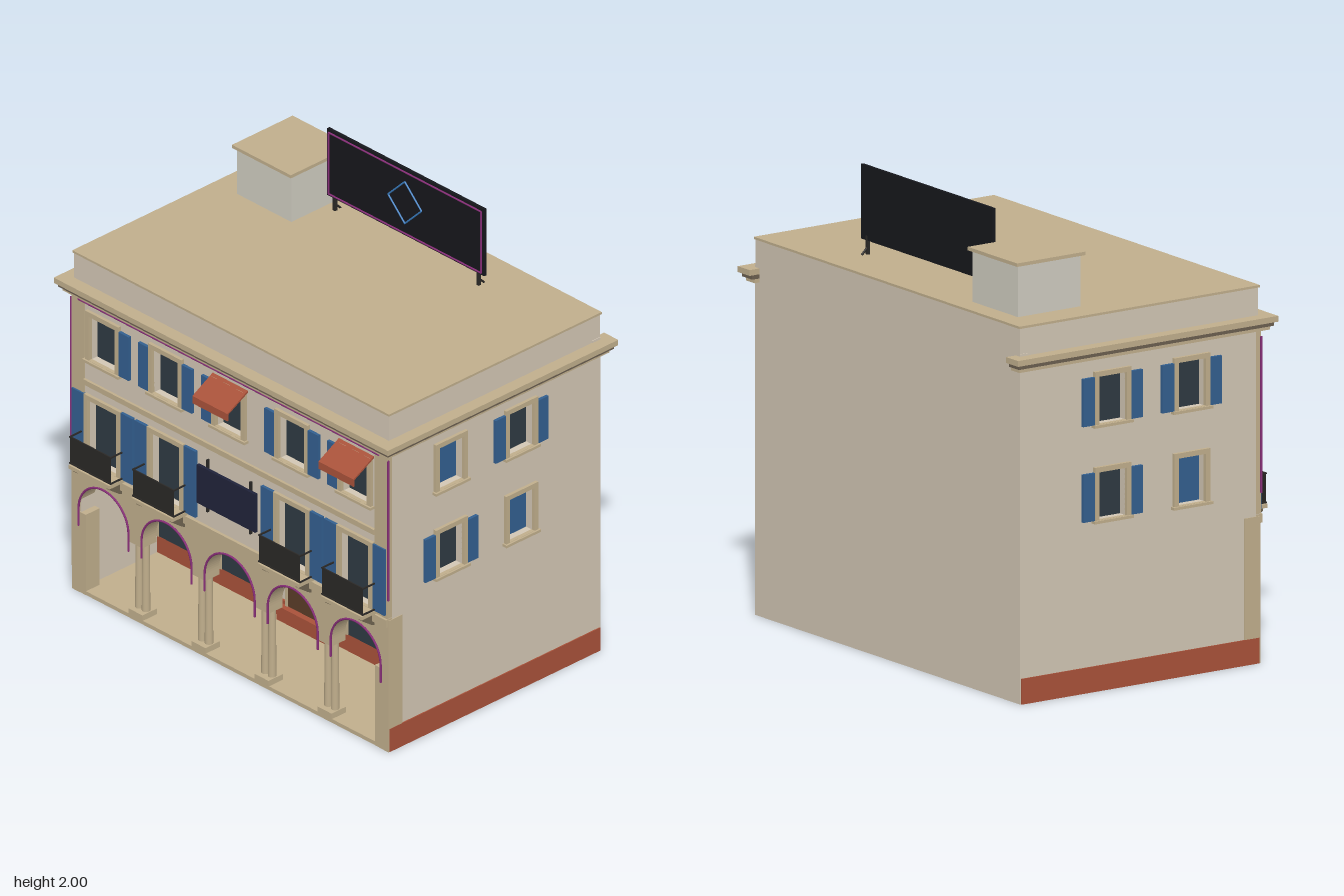
import * as THREE from 'three';

const mat = (color) => new THREE.MeshStandardMaterial({ color, side: THREE.DoubleSide });
const M = {
  cream: mat(0xd2c6b4), tan: mat(0xc0ae8c), red: mat(0xa9523a), blue: mat(0x335f8f),
  glass: mat(0x2f3a42), iron: mat(0x2a2826), navy: mat(0x20233a), wood: mat(0x5a3c28),
  stripe: mat(0x6b5f50), grey: mat(0xcfccc0), board: mat(0x16171c), neon: mat(0x8a2f7a),
  neonBlue: mat(0x3a7fc4), lamp: mat(0xe0b850), bracket: mat(0x6f6450),
};

function add(parent, name, geo, material, x = 0, y = 0, z = 0) {
  const m = new THREE.Mesh(geo, material);
  m.name = name;
  m.position.set(x, y, z);
  parent.add(m);
  return m;
}
// Box given by its limits
function box(parent, name, material, x0, x1, y0, y1, z0, z1) {
  return add(parent, name, new THREE.BoxGeometry(x1 - x0, y1 - y0, z1 - z0), material,
    (x0 + x1) / 2, (y0 + y1) / 2, (z0 + z1) / 2);
}
function group(parent, name, x = 0, y = 0, z = 0, ry = 0) {
  const g = new THREE.Group();
  g.name = name;
  g.position.set(x, y, z);
  g.rotation.y = ry;
  parent.add(g);
  return g;
}
const rect = (C, x0, x1, y0, y1) => new C([[x0, y0], [x1, y0], [x1, y1], [x0, y1]].map((p) => new THREE.Vector2(...p)));
const extrude = (shape, depth) => new THREE.ExtrudeGeometry(shape, { depth, bevelEnabled: false, curveSegments: 20 });
function tube(parent, name, material, pts, r, closed = false) {
  const path = new THREE.CurvePath();
  const v = pts.map((p) => new THREE.Vector3(...p));
  if (closed) v.push(v[0]);
  for (let i = 0; i + 1 < v.length; i++) {
    const seg = new THREE.LineCurve3(v[i], v[i + 1]);
    add(parent, name, new THREE.TubeGeometry(seg, 1, r, 6), material);
  }
  return path;
}

// Wall facing +z with its outer face on z = 0, pierced by the windows
function wall(parent, name, x0, x1, y0, y1, windows) {
  const s = rect(THREE.Shape, x0, x1, y0, y1);
  for (const w of windows) s.holes.push(rect(THREE.Path, w.x - w.w / 2, w.x + w.w / 2, w.y0, w.y1));
  add(parent, name, extrude(s, 0.05), M.cream, 0, 0, -0.05);
}

// Recessed window with frame, sill and shutters (l / r flags)
function windowUnit(parent, w) {
  const g = group(parent, 'window', w.x);
  const h = w.w / 2, f = 0.022;
  box(g, 'windowPane', w.closed ? M.blue : M.glass, -h, h, w.y0, w.y1, -0.05, -0.035);
  const frame = rect(THREE.Shape, -h - f, h + f, w.y0, w.y1 + f);
  frame.holes.push(rect(THREE.Path, -h, h, w.y0 + 0.001, w.y1));
  add(g, 'windowFrame', extrude(frame, 0.018), M.tan, 0, 0, -0.003);
  box(g, 'windowSill', M.tan, -h - 0.03, h + 0.03, w.y0 - 0.012, w.y0, -0.003, 0.024);
  for (const s of [-1, 1]) {
    if (!(s < 0 ? w.l : w.r)) continue;
    const c = s * w.off;
    box(g, 'shutter', M.blue, c - w.sw / 2, c + w.sw / 2, w.y0, w.y1 + (w.tall ? 0.02 : 0), 0, 0.014);
  }
}

function balcony(parent, x) {
  const g = group(parent, 'balcony', x, 0, 0.58);
  box(g, 'balconySlab', M.tan, -0.122, 0.122, 0.638, 0.655, 0, 0.088);
  add(g, 'railingPanel', new THREE.PlaneGeometry(0.245, 0.13), M.iron, 0, 0.725, 0.08);
  for (const y of [0.662, 0.787]) {
    box(g, 'frontRail', M.iron, -0.125, 0.125, y - 0.003, y + 0.003, 0.077, 0.083);
    for (const s of [-1, 1]) box(g, 'sideRail', M.iron, s * 0.122 - 0.003, s * 0.122 + 0.003, y - 0.003, y + 0.003, 0, 0.083);
  }
  const prof = new THREE.Shape([[0, 0.575], [0.02, 0.585], [0.075, 0.625], [0.075, 0.638], [0, 0.638]].map((p) => new THREE.Vector2(...p)));
  for (const s of [-1, 1]) {
    const b = add(g, 'balconyBracket', extrude(prof, 0.018), M.bracket, s * 0.1 + 0.009 * -1, 0, 0);
    b.rotation.y = -Math.PI / 2;
    b.position.x += 0.018;
  }
}

function awning(parent, x) {
  const prof = new THREE.Shape([[0, 1.385], [0.118, 1.32], [0.118, 1.285], [0.112, 1.285], [0.112, 1.315], [0, 1.375]].map((p) => new THREE.Vector2(...p)));
  const a = add(parent, 'awning', extrude(prof, 0.21), M.red, x + 0.105, 0, 0.58);
  a.rotation.y = -Math.PI / 2;
}

export function createModel() {
  const root = new THREE.Group();
  root.name = 'townBuilding';
  const bays = [-0.755, -0.378, 0, 0.378, 0.755];

  // Upper front wall with windows on two floors
  const front = group(root, 'frontFacade', 0, 0, 0.58);
  const fw = bays.map((x, i) => ({
    x, y0: 1.145, y1: 1.355, w: 0.155, off: 0.13, sw: 0.062, l: i > 0, r: i === 0 || i === 1 || i === 3,
  }));
  for (const x of bays) if (x) fw.push({ x, y0: 0.655, y1: 0.952, w: 0.172, off: 0.147, sw: 0.07, l: 1, r: 1, tall: 1 });
  wall(front, 'frontWall', -0.945, 0.945, 0.6, 1.45, fw);
  fw.forEach((w) => windowUnit(front, w));
  for (const s of [-1, 1]) box(front, 'cornerPilaster', M.tan, s * 0.908 - 0.038, s * 0.908 + 0.038, 0.64, 1.43, -0.02, 0.006);
  box(front, 'lowerStringCourse', M.tan, -0.946, 0.946, 0.6, 0.638, -0.02, 0.014);
  box(front, 'upperStringCourse', M.tan, -0.87, 0.87, 1.015, 1.04, -0.02, 0.012);
  bays.filter((x) => x).forEach((x) => balcony(root, x));
  [0, 0.755].forEach((x) => awning(root, x));

  // Side walls: same layout, mirrored
  for (const s of [-1, 1]) {
    const g = group(root, s > 0 ? 'leftSide' : 'rightSide', s * 0.945, 0, 0, s * Math.PI / 2);
    const ws = [[0.225, 1.145, s > 0], [-0.18, 1.145, false], [0.225, 0.735, s < 0], [-0.18, 0.735, s > 0]]
      .map(([z, y0, closed]) => ({ x: -s * z, y0, y1: y0 + 0.205, w: 0.14, off: 0.122, sw: 0.06, closed, l: !closed, r: !closed }));
    wall(g, 'sideWall', s > 0 ? -0.575 : -0.64, s > 0 ? 0.64 : 0.575, 0, 1.45, ws);
    ws.forEach((w) => windowUnit(g, w));
    box(root, 'sidePlinth', M.red, s * 0.946 - 0.004, s * 0.946 + 0.004, 0, 0.11, -0.64, 0.576);
  }
  box(root, 'backWall', M.cream, -0.945, 0.945, 0, 1.5, -0.645, -0.6);

  // Arcade front: five round arches
  const R = 0.148, spring = 0.4;
  const a = new THREE.Shape();
  a.moveTo(-0.948, 0.6);
  a.lineTo(-0.948, 0);
  a.lineTo(-0.903, 0);
  bays.forEach((x, i) => {
    if (i) a.lineTo(x - R, 0.385);
    a.lineTo(x - R, spring);
    a.absarc(x, spring, R, Math.PI, 0, true);
    if (i < 4) a.lineTo(x + R, 0.385);
  });
  a.lineTo(0.903, 0);
  a.lineTo(0.948, 0);
  a.lineTo(0.948, 0.6);
  add(root, 'arcadeWall', extrude(a, 0.08), M.tan, 0, 0, 0.501);
  for (const s of [-1, 1]) {
    box(root, 'endPier', M.tan, s * 0.906 - 0.041, s * 0.906 + 0.041, 0, 0.385, 0.5, 0.58);
    box(root, 'cornerBand', M.tan, s * 0.945 - 0.004, s * 0.945 + 0.004, 0.11, 0.63, 0.5, 0.581);
  }

  // Twin columns
  const shaft = new THREE.CylinderGeometry(0.016, 0.018, 0.32, 16);
  for (const x of [-0.566, -0.189, 0.189, 0.566]) {
    const c = group(root, 'twinColumn', x, 0, 0.54);
    box(c, 'columnBase', M.tan, -0.042, 0.042, 0.015, 0.045, -0.042, 0.042);
    box(c, 'columnCapital', M.tan, -0.04, 0.04, 0.365, 0.387, -0.04, 0.04);
    for (const s of [-1, 1]) add(c, 'columnShaft', shaft, M.tan, s * 0.02, 0.205, 0);
  }

  // Porch floor, ceiling and shop wall
  box(root, 'porchFloor', M.tan, -0.94, 0.94, 0, 0.018, 0.1, 0.579);
  box(root, 'porchCeiling', M.cream, -0.9, 0.9, 0.58, 0.6, -0.6, 0.51);
  box(root, 'shopWall', M.cream, -0.9, 0.9, 0.018, 0.58, 0.11, 0.13);
  box(root, 'shopPlinth', M.red, -0.895, 0.895, 0.018, 0.1, 0.13, 0.14);
  box(root, 'doorStep', M.red, -0.15, 0.15, 0.018, 0.085, 0.13, 0.17);
  for (const x of bays) {
    const door = x === 0, h = door ? 0.108 : 0.125;
    const y0 = door ? 0.085 : 0.1, y1 = door ? 0.41 : 0.455;
    box(root, door ? 'door' : 'shopWindow', door ? M.wood : M.glass, x - h, x + h, y0, y1, 0.1, 0.142);
    box(root, 'shopLintel', M.tan, x - h - 0.015, x + h + 0.015, y1, y1 + 0.015, 0.1, 0.15);
    for (const s of [-1, 1]) box(root, 'shopJamb', M.tan, x + s * (h + 0.007) - 0.007, x + s * (h + 0.007) + 0.007, y0, y1, 0.1, 0.148);

    // Hanging lantern
    const l = group(root, 'lantern', x, 0, 0.45);
    add(l, 'lanternGlass', new THREE.CylinderGeometry(0.015, 0.01, 0.032, 6), M.lamp, 0, 0.46);
    add(l, 'lanternCap', new THREE.ConeGeometry(0.02, 0.014, 6), M.iron, 0, 0.483);
    add(l, 'lanternRod', new THREE.CylinderGeometry(0.003, 0.003, 0.1, 6), M.iron, 0, 0.535);

    // Neon trim around the arch
    const n = add(root, 'archNeon', new THREE.TorusGeometry(0.15, 0.005, 6, 24, Math.PI), M.neon, x, spring, 0.584);
    for (const s of [-1, 1]) add(n, 'archNeonLeg', new THREE.CylinderGeometry(0.005, 0.005, 0.08, 6), M.neon, s * 0.15, -0.04, 0);
  }
  box(root, 'doorLightBar', M.iron, -0.08, 0.08, 0.455, 0.463, 0.13, 0.17);

  // Facade neon lines
  tube(root, 'eavesNeon', M.neon, [[-0.9, 1.412, 0.59], [0.9, 1.412, 0.59]], 0.005);
  for (const s of [-1, 1]) tube(root, 'cornerNeon', M.neon, [[s * 0.95, 0.73, 0.584], [s * 0.95, 1.4, 0.584]], 0.005);

  // Blank hanging sign panel
  box(root, 'signPanel', M.navy, -0.175, 0.175, 0.742, 0.925, 0.592, 0.606);
  for (const s of [-1, 1]) box(root, 'signRod', M.iron, s * 0.128 - 0.004, s * 0.128 + 0.004, 0.71, 0.96, 0.58, 0.592);

  // Cornice along the front and both sides
  const layers = [[1.43, 1.447, 0.03, M.tan], [1.447, 1.465, 0.042, M.stripe], [1.465, 1.49, 0.055, M.tan]];
  for (const [y0, y1, d, m] of layers) {
    box(root, 'frontCornice', m, -0.945 - d, 0.945 + d, y0, y1, 0.56, 0.58 + d);
    for (const s of [-1, 1]) box(root, 'sideCornice', m, s * (0.93 + d / 2) - 0.015 - d / 2, s * (0.93 + d / 2) + 0.015 + d / 2, y0, y1, -0.64 - d, 0.56);
  }

  // Parapet and roof
  box(root, 'parapet', M.cream, -0.942, 0.942, 1.44, 1.61, -0.645, 0.573);
  box(root, 'roof', M.tan, -0.948, 0.948, 1.61, 1.62, -0.65, 0.578);
  box(root, 'roofHut', M.grey, -0.81, -0.485, 1.62, 1.84, -0.56, -0.24);
  box(root, 'roofHutCap', M.tan, -0.825, -0.473, 1.84, 1.855, -0.575, -0.225);

  // Billboard with neon border and diamond
  box(root, 'billboard', M.board, -0.47, 0.47, 1.68, 2.0, -0.445, -0.432);
  for (const s of [-1, 1]) {
    box(root, 'billboardPost', M.iron, s * 0.43 - 0.007, s * 0.43 + 0.007, 1.62, 1.7, -0.446, -0.432);
    tube(root, 'billboardBrace', M.iron, [[s * 0.43, 1.65, -0.44], [s * 0.43, 1.62, -0.47]], 0.005);
  }
  const z = -0.427;
  tube(root, 'billboardNeon', M.neon, [[-0.457, 1.692, z], [0.457, 1.692, z], [0.457, 1.986, z], [-0.457, 1.986, z]], 0.004, true);
  tube(root, 'neonDiamond', M.neonBlue, [[0, 1.74, z], [0.1, 1.84, z], [0, 1.94, z], [-0.1, 1.84, z]], 0.004, true);
  return root;
}
